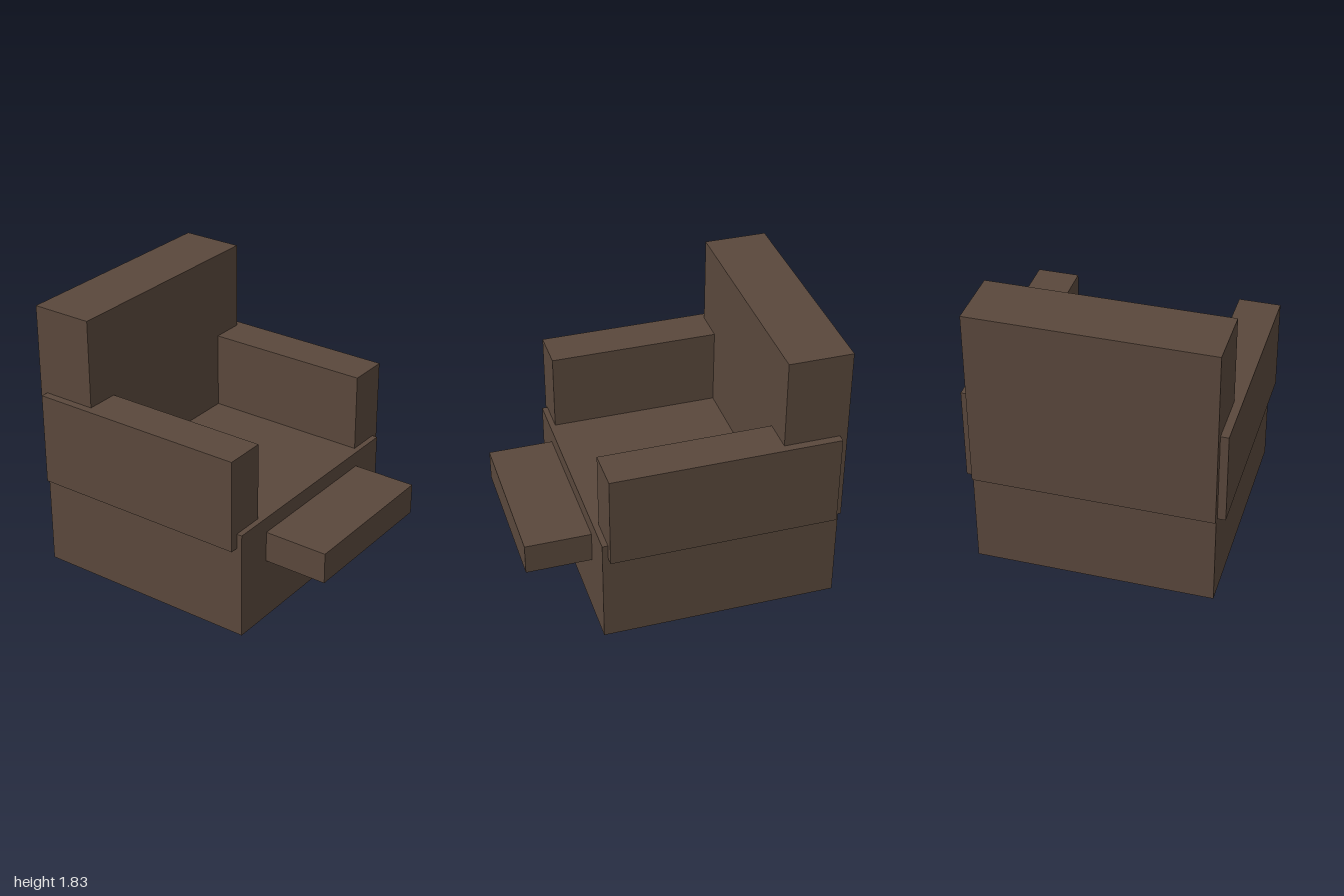
import * as THREE from 'three';

export function createModel() {
  const model = new THREE.Group();
  model.name = 'armchair';
  const upholstery = new THREE.MeshStandardMaterial({ color: 0x5a483c });
  upholstery.name = 'brown upholstery';

  // Box given by its extents along each axis
  function block(name, [x0, x1], [y0, y1], [z0, z1]) {
    const mesh = new THREE.Mesh(new THREE.BoxGeometry(x1 - x0, y1 - y0, z1 - z0), upholstery);
    mesh.position.set((x0 + x1) / 2, (y0 + y1) / 2, (z0 + z1) / 2);
    mesh.name = name;
    model.add(mesh);
  }

  // Seat base, standing on the floor
  block('seatBase', [-0.775, 0.775], [0, 0.725], [-0.98, 0.57]);

  // Backrest, overhanging the base slightly at the rear
  block('backrest', [-0.775, 0.775], [0.625, 1.83], [-1, -0.587]);

  // Armrests, overhanging the base at the sides
  block('leftArmrest', [0.553, 0.827], [0.623, 1.242], [-0.95, 0.533]);
  block('rightArmrest', [-0.827, -0.553], [0.623, 1.242], [-0.95, 0.533]);

  // Footrest, projecting from the front of the base
  block('footrest', [-0.516, 0.516], [0.415, 0.622], [0.5, 1]);

  return model;
}
